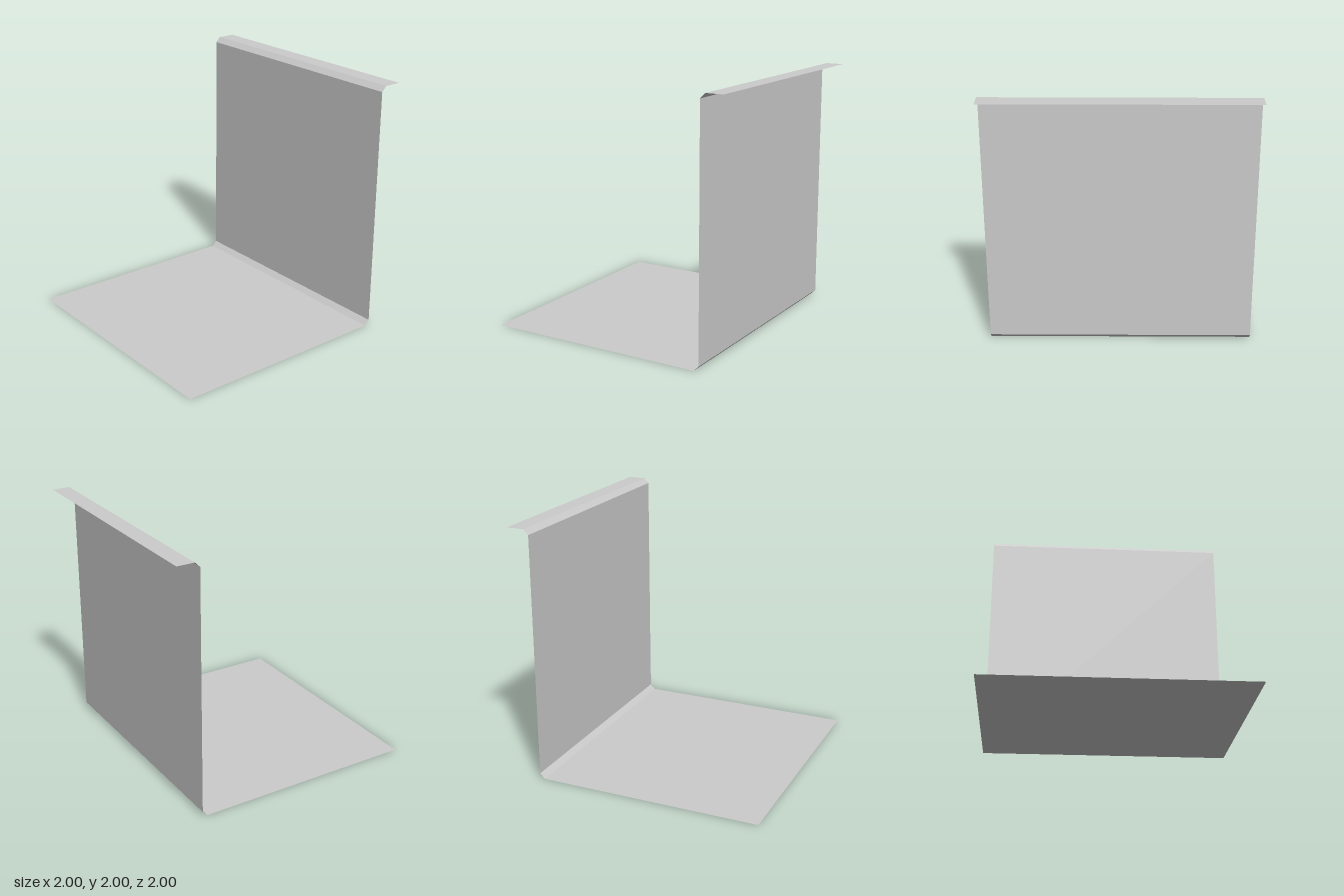
import * as THREE from 'three';

// Bent sheet: side profile as [y, z], from the front edge of the floor to the rear lip
const WIDTH = 2;
const PROFILE = [[0, 1], [0, -0.78], [0.04, -0.82], [1.96, -0.82], [2, -0.86], [2, -1]];
const NAMES = ['floor', 'lowerBevel', 'backWall', 'upperBevel', 'rearLip'];

export function createModel() {
  const group = new THREE.Group();
  group.name = 'bentSheet';
  const material = new THREE.MeshStandardMaterial({ color: 0xcccccc, side: THREE.DoubleSide });

  // One flat panel between each pair of neighbouring profile points
  NAMES.forEach((name, i) => {
    const [y0, z0] = PROFILE[i];
    const [y1, z1] = PROFILE[i + 1];
    const length = Math.hypot(y1 - y0, z1 - z0);
    const panel = new THREE.Mesh(new THREE.PlaneGeometry(WIDTH, length), material);
    panel.name = name;
    panel.position.set(0, (y0 + y1) / 2, (z0 + z1) / 2);
    panel.rotation.x = Math.atan2(z1 - z0, y1 - y0);
    group.add(panel);
  });
  return group;
}
